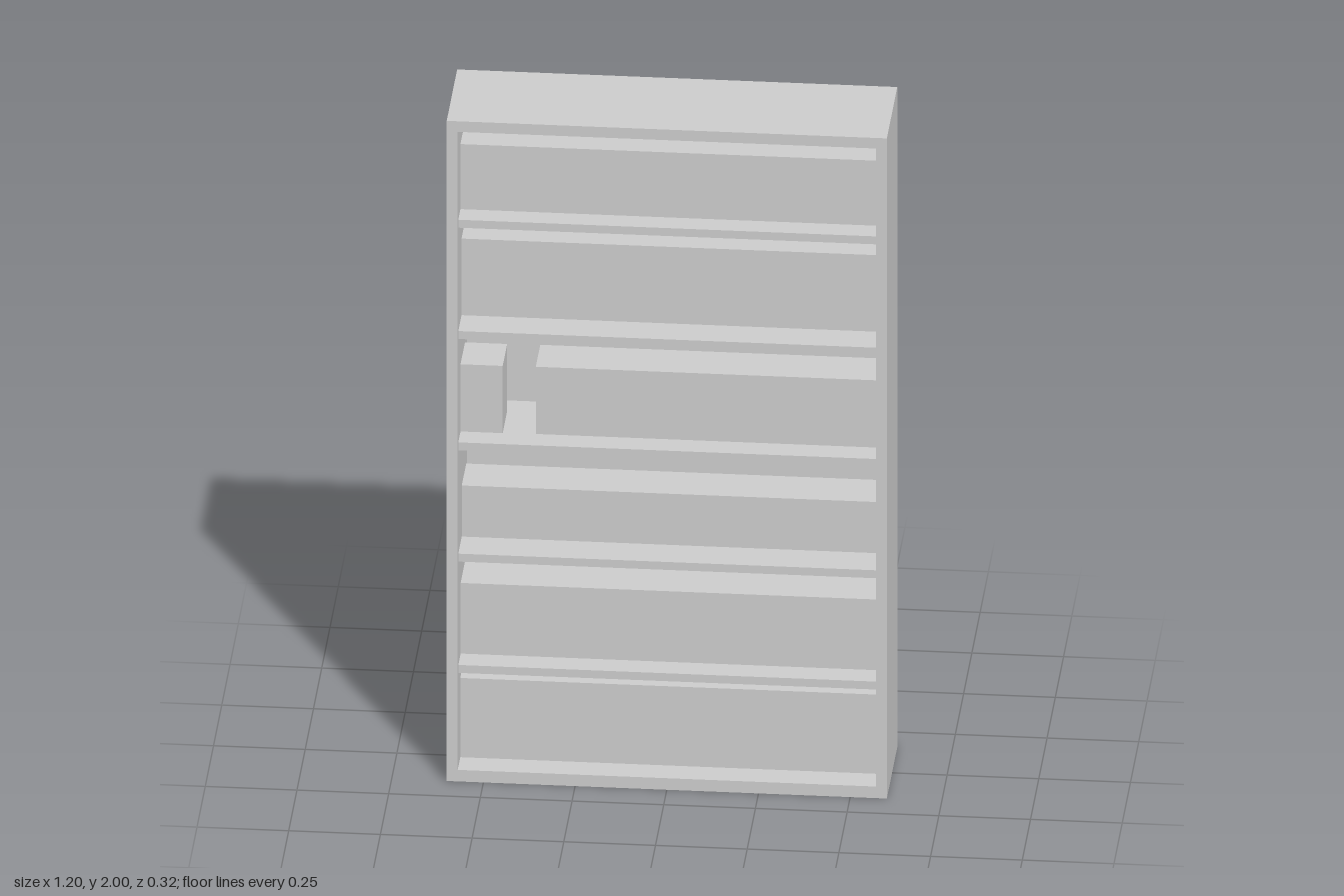
import * as THREE from 'three';

const material = new THREE.MeshStandardMaterial({ color: 0xcccccc, flatShading: true });

// Box given by its limits on each axis
function block(name, [x0, x1], [y0, y1], [z0, z1]) {
  const mesh = new THREE.Mesh(new THREE.BoxGeometry(x1 - x0, y1 - y0, z1 - z0), material);
  mesh.position.set((x0 + x1) / 2, (y0 + y1) / 2, (z0 + z1) / 2);
  mesh.name = name;
  return mesh;
}

export function createModel() {
  const group = new THREE.Group();
  group.name = 'bookcase';
  const W = 0.6, D = 0.158, inner = 0.57, back = -0.128;

  // Outer frame: two sides, top and bottom in one piece
  const outline = new THREE.Shape([
    new THREE.Vector2(-W, 0), new THREE.Vector2(W, 0),
    new THREE.Vector2(W, 2), new THREE.Vector2(-W, 2),
  ]);
  outline.holes.push(new THREE.Path([
    new THREE.Vector2(-inner, 0.035), new THREE.Vector2(-inner, 1.968),
    new THREE.Vector2(inner, 1.968), new THREE.Vector2(inner, 0.035),
  ]));
  const frame = new THREE.Mesh(
    new THREE.ExtrudeGeometry(outline, { depth: D - back, bevelEnabled: false }), material);
  frame.position.z = back;
  frame.name = 'frame';
  group.add(frame);

  // Back panel
  group.add(block('backPanel', [-W, W], [0, 2], [-D, back]));

  // Five evenly spaced shelves, set slightly back from the front edge
  for (let i = 0; i < 5; i++) {
    const top = 0.344 + i * 0.3372;
    group.add(block('shelf', [-inner, inner], [top - 0.024, top], [back, 0.14]));
  }

  // Rows of books as plain blocks: x limits, y limits, front z
  const rows = [
    [[-inner, inner], [0.035, 0.275], 0.08],
    [[-inner, inner], [0.344, 0.558], 0.07],
    [[-inner, inner], [0.681, 0.836], 0.035],
    [[-inner, -0.455], [1.018, 1.222], 0.073],
    [[-0.365, inner], [1.018, 1.222], 0.07],
    [[-inner, inner], [1.356, 1.588], 0.043],
    [[-inner, inner], [1.693, 1.89], 0.075],
  ];
  for (const [x, y, front] of rows) {
    group.add(block('bookRow', x, y, [front - 0.135, front]));
  }
  return group;
}
